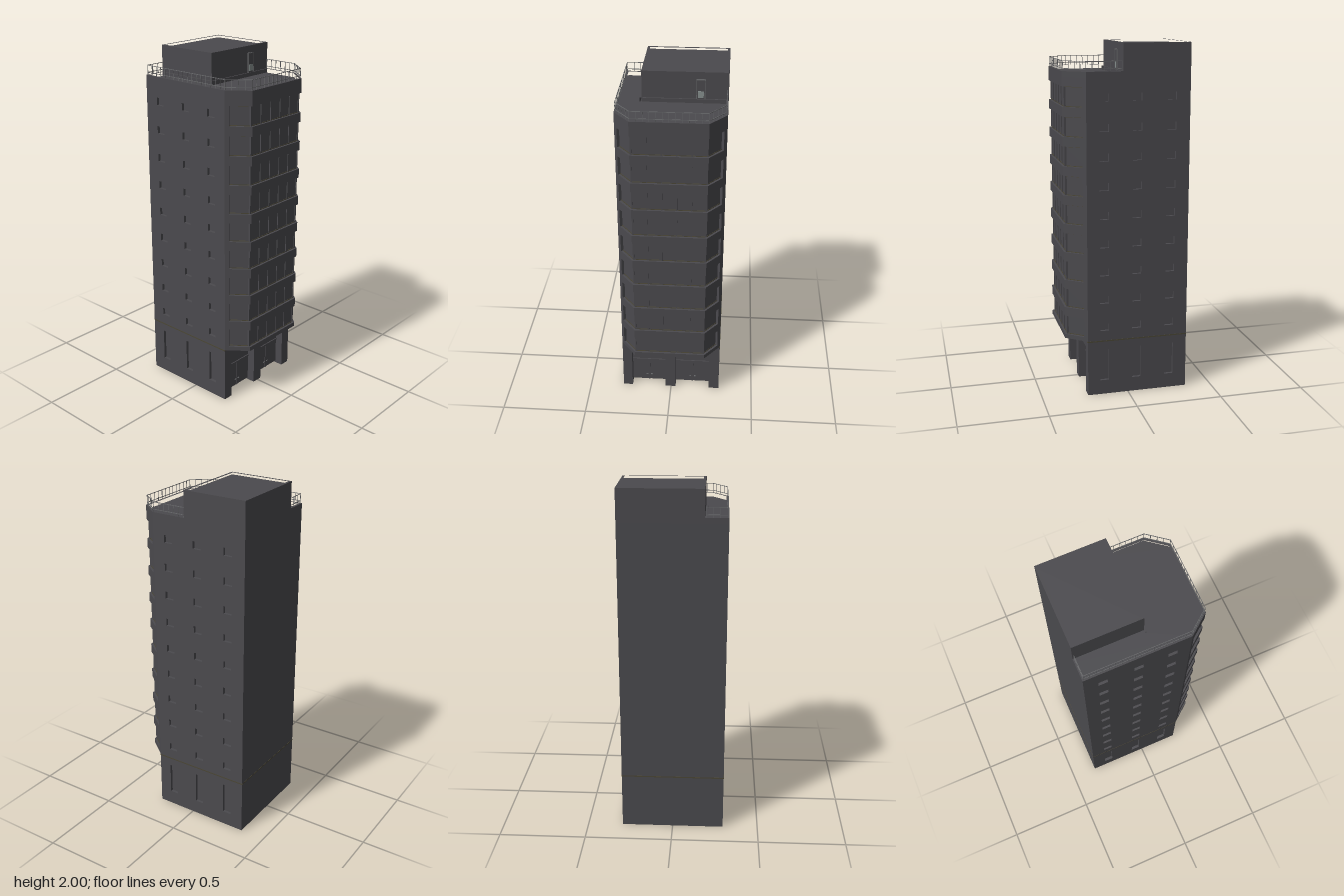
import * as THREE from 'three';

const mat = (name, color, side = THREE.FrontSide) => {
  const m = new THREE.MeshStandardMaterial({ color, side });
  m.name = name;
  return m;
};

export function createModel() {
  const wall = mat('charcoal wall', 0x4b4a4e);
  const trim = mat('olive trim', 0x4a4636);
  const metal = mat('railing grey', 0x67686a);
  const panel = mat('pale door panel', 0x87908f);
  const root = new THREE.Group();
  root.name = 'towerBlock';

  const add = (name, geo, material, x = 0, y = 0, z = 0, parent = root) => {
    const m = new THREE.Mesh(geo, material);
    m.name = name;
    m.position.set(x, y, z);
    parent.add(m);
    return m;
  };
  // Box given by its limits on each axis
  const box = (name, material, x0, x1, y0, y1, z0, z1, parent = root) =>
    add(name, new THREE.BoxGeometry(x1 - x0, y1 - y0, z1 - z0), material,
      (x0 + x1) / 2, (y0 + y1) / 2, (z0 + z1) / 2, parent);
  // Horizontal slab from a plan outline of [x, z] points
  const plan = pts => pts.map(([x, z]) => new THREE.Vector2(x, -z));
  const slab = (name, material, pts, y0, y1, hole) => {
    const s = new THREE.Shape(plan(pts));
    if (hole) s.holes.push(new THREE.Path(plan(hole)));
    const g = new THREE.ExtrudeGeometry(s, { depth: y1 - y0, bevelEnabled: false });
    return add(name, g.rotateX(-Math.PI / 2), material, 0, y0, 0);
  };
  const rect = (x0, x1, z0, z1) => [[x0, z0], [x1, z0], [x1, z1], [x0, z1]];

  const W = 0.296, F = 0.236, B = -0.35, FLOORS = 9, PITCH = 0.163;

  // Core and back wall; the ground floor is hollow
  box('core', wall, -0.28, 0.28, 0.325, 1.81, -0.34, F);
  box('backWall', wall, -0.28, 0.28, 0, 1.82, B, -0.33);

  // Side walls with small recessed windows above and tall slots at street level
  const side = new THREE.Shape([[B, 0], [F, 0], [F, 1.82], [B, 1.82]].map(p => new THREE.Vector2(...p)));
  const cut = (z, y0, y1) => side.holes.push(new THREE.Path(
    [[z - 0.026, y0], [z - 0.026, y1], [z + 0.026, y1], [z + 0.026, y0]].map(p => new THREE.Vector2(...p))));
  for (const z of [0.138, -0.05, -0.245]) {
    cut(z, 0.085, 0.275);
    for (let i = 0; i < FLOORS; i++) cut(z, 0.387 + i * PITCH, 0.43 + i * PITCH);
  }
  const sideGeo = new THREE.ExtrudeGeometry(side, { depth: 0.02, bevelEnabled: false }).rotateY(-Math.PI / 2);
  add('leftWall', sideGeo, wall, W);
  add('rightWall', sideGeo, wall, -W + 0.02);
  for (const s of [-1, 1]) {
    add('streetPane', new THREE.BoxGeometry(0.004, 0.33, 0.55), wall, s * 0.278, 0.166, -0.055);
  }

  // Street front: piers, lintel and two recessed doors
  for (const [a, b] of [[-0.28, -0.24], [-0.035, 0.028], [0.235, 0.28]]) box('pier', wall, a, b, 0, 0.325, 0.17, F);
  box('lintel', wall, -0.28, 0.28, 0.28, 0.326, 0.17, F);
  for (const [a, b] of [[-0.24, -0.035], [0.028, 0.235]]) {
    const c = (a + b) / 2;
    box('door', wall, a, b, 0.012, 0.28, 0.178, 0.188);
    box('doorTransom', wall, a, b, 0.165, 0.175, 0.186, 0.194);
    box('doorMeetingStile', wall, c - 0.004, c + 0.004, 0.012, 0.165, 0.186, 0.192);
    for (const s of [-1, 1]) box('doorHandle', metal, c + s * 0.014 - 0.005, c + s * 0.014 + 0.005, 0.05, 0.054, 0.187, 0.194);
  }

  // Olive string course around the block
  for (const s of [-1, 1]) box('stringCourse', trim, s * W - 0.0015, s * W + 0.0015, 0.322, 0.329, B, F);
  box('stringCourse', trim, -W, W, 0.322, 0.329, B - 0.0015, B + 0.002);
  box('stringCourse', trim, -W, W, 0.322, 0.329, F - 0.002, F + 0.0015);

  // Chamfered bay: projecting bands with set-back window strips between them
  const bay = [[-W, F], [-0.206, 0.35], [0.206, 0.35], [W, F]];
  const glass = [[-0.276, F], [-0.199, 0.335], [0.199, 0.335], [0.276, F]];
  const lip = [[-0.279, F], [-0.2, 0.338], [0.2, 0.338], [0.279, F]];
  slab('bayBand', wall, bay, 0.33, 0.355);
  for (let i = 0; i < FLOORS; i++) {
    const y0 = 0.355 + i * PITCH, y1 = y0 + 0.11;
    slab('windowStrip', wall, glass, y0, y1);
    slab('windowSill', trim, lip, y0, y0 + 0.004);
    slab('windowHead', trim, lip, y1 - 0.004, y1);
    slab('bayBand', wall, bay, y1, i === FLOORS - 1 ? 1.82 : y0 + PITCH);
    for (const x of [-0.12, -0.04, 0.04, 0.12]) box('mullion', wall, x - 0.003, x + 0.003, y0, y1, 0.33, 0.34);
    // Posts where the bay meets the side walls, and at the window corners
    for (const s of [-1, 1]) {
      slab('bayPost', wall, [[s * W, F], [s * 0.281, 0.255], [s * 0.26, 0.24], [s * 0.26, F]], y0, y1);
      box('cornerMullion', wall, s * 0.2 - 0.004, s * 0.2 + 0.004, y0, y1, 0.328, 0.339);
    }
  }

  // Roof deck with a raised kerb
  const roof = [[-W, B], [-0.17, B], [-0.17, 0.03], [W, 0.03], [W, F], [0.206, 0.35], [-0.206, 0.35], [-W, F]];
  const inner = [[-0.283, -0.337], [-0.181, -0.337], [-0.181, 0.038], [0.283, 0.038],
    [0.283, 0.232], [0.2, 0.337], [-0.2, 0.337], [-0.283, 0.232]];
  slab('roofDeck', wall, inner, 1.8, 1.828);
  slab('roofKerb', wall, roof, 1.82, 1.85, inner);

  // Rooftop housing with its own kerb and a door
  box('roofHousing', wall, -0.17, W, 1.82, 1.985, B, 0.03);
  slab('housingKerb', wall, rect(-0.17, W, B, 0.03), 1.985, 2, rect(-0.156, 0.282, -0.336, 0.016));
  box('roofDoor', wall, 0.125, 0.17, 1.85, 1.96, 0.03, 0.035);
  for (const x of [0.125, 0.17]) box('roofDoorFrame', metal, x - 0.002, x + 0.002, 1.85, 1.96, 0.03, 0.037);
  box('roofDoorFrame', metal, 0.125, 0.17, 1.957, 1.961, 0.03, 0.037);
  box('roofDoorPanel', panel, 0.132, 0.163, 1.858, 1.895, 0.034, 0.037);

  // Railing along the open roof edges
  const railing = new THREE.Group();
  railing.name = 'railing';
  root.add(railing);
  const path = [[-0.175, -0.343], [-0.289, -0.343], [-0.289, 0.234], [-0.203, 0.343],
    [0.203, 0.343], [0.289, 0.234], [0.289, 0.035]];
  const postGeo = new THREE.BoxGeometry(0.0025, 0.055, 0.0025);
  for (let i = 0; i < path.length - 1; i++) {
    const [ax, az] = path[i], [bx, bz] = path[i + 1];
    const dx = bx - ax, dz = bz - az, len = Math.hypot(dx, dz);
    for (const y of [1.864, 1.904]) {
      const rail = add('rail', new THREE.BoxGeometry(len, 0.003, 0.003), metal, (ax + bx) / 2, y, (az + bz) / 2, railing);
      rail.rotation.y = -Math.atan2(dz, dx);
    }
    const n = Math.max(1, Math.round(len / 0.034));
    for (let k = 0; k <= n; k++) add('railPost', postGeo, metal, ax + dx * k / n, 1.8775, az + dz * k / n, railing);
  }
  return root;
}
